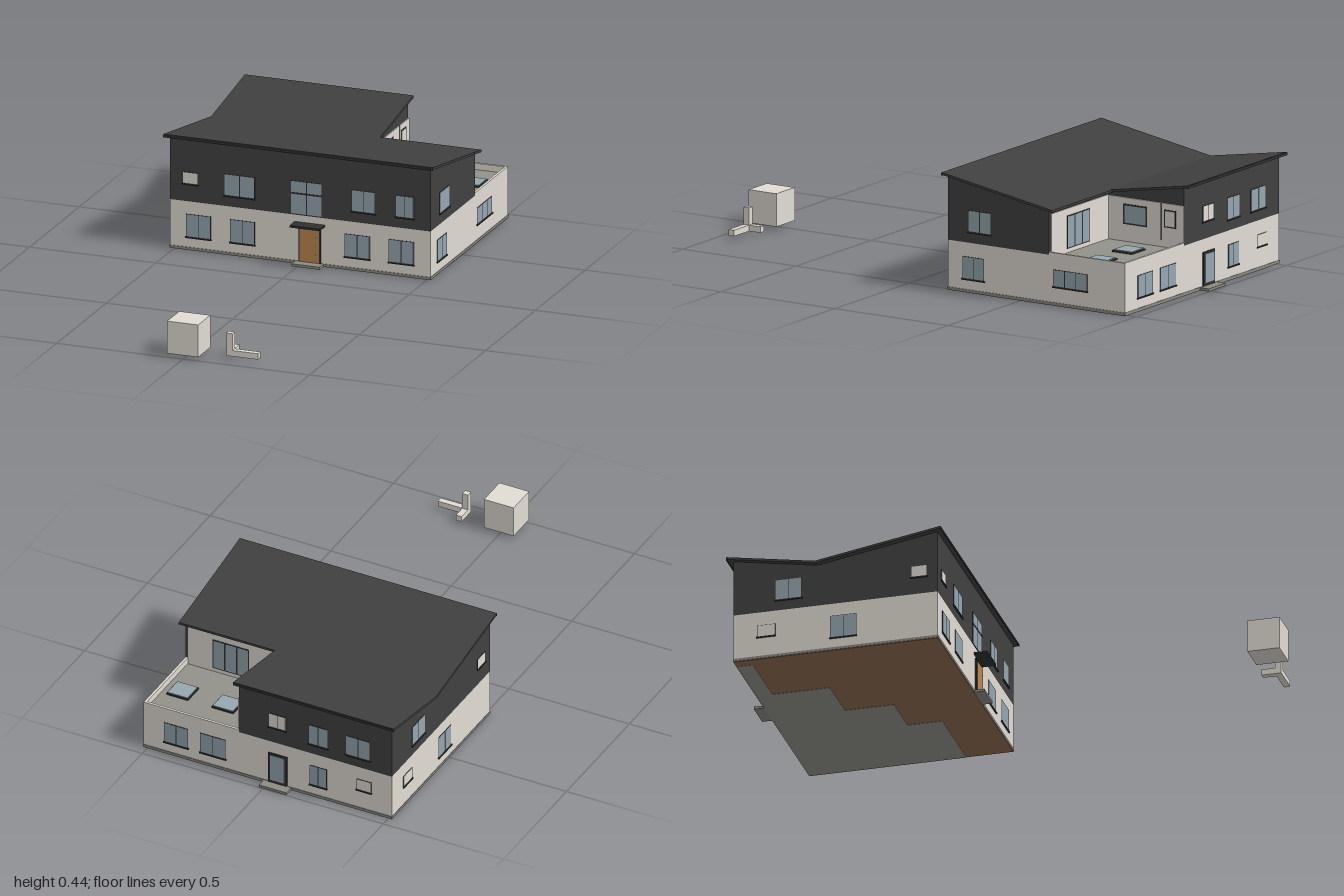
import * as THREE from 'three';

const mat = (name, color) => {
  const m = new THREE.MeshStandardMaterial({ color });
  m.name = name;
  return m;
};

export function createModel() {
  const model = new THREE.Group();
  model.name = 'house';
  const cream = mat('creamRender', 0xe1dcd3);
  const dark = mat('darkCladding', 0x414141);
  const roofing = mat('roofing', 0x404040);
  const trim = mat('darkTrim', 0x303133);
  const glass = mat('glass', 0x95a7b0);
  const wood = mat('doorWood', 0xbb8750);
  const grey = mat('plinthGrey', 0x8c8a83);
  const deck = mat('terraceGrey', 0x92928a);
  const brown = mat('floorBrown', 0x8f6c52);

  // Box given by its minimum and maximum on each axis
  const box = (name, m, x0, x1, y0, y1, z0, z1, parent = model) => {
    const mesh = new THREE.Mesh(new THREE.BoxGeometry(x1 - x0, y1 - y0, z1 - z0), m);
    mesh.position.set((x0 + x1) / 2, (y0 + y1) / 2, (z0 + z1) / 2);
    mesh.name = name;
    parent.add(mesh);
    return mesh;
  };
  // Side profile of [z, y] points swept along x
  const prism = (name, m, pts, x0, x1) => {
    const shape = new THREE.Shape(pts.map(([z, y]) => new THREE.Vector2(-z, y)));
    const geo = new THREE.ExtrudeGeometry(shape, { depth: x1 - x0, bevelEnabled: false });
    geo.rotateY(Math.PI / 2);
    const mesh = new THREE.Mesh(geo, m);
    mesh.position.x = x0;
    mesh.name = name;
    model.add(mesh);
  };

  const W = 0.515, FRONT = -0.18, MID = -0.625, BACK = -0.96, WING = 0.12;

  // Ground floor, with a lower block under the terrace
  box('plinth', grey, -0.517, 0.517, 0.003, 0.013, BACK - 0.002, FRONT + 0.002);
  box('groundFloorFront', cream, -W, W, 0.01, 0.19, MID, FRONT);
  box('groundFloorWing', cream, -W, WING, 0.01, 0.19, BACK, MID);
  box('groundFloorTerrace', cream, WING, W, 0.01, 0.172, BACK, MID);

  // Underside of the floor slab: brown, with a stepped grey area at the back
  box('floorUnderside', brown, -W, W, 0.001, 0.004, BACK, FRONT);
  [[0, 0.32, 0.77], [0.32, 0.5, 0.6], [0.5, 0.7, 0.36], [0.7, 0.96, 0.08]].forEach(([a, b, d]) =>
    box('slabUnderside', deck, W - b * 1.03, W - a * 1.03, 0, 0.002, BACK, BACK + d * 0.78));

  // Upper storey
  prism('upperFront', dark, [[FRONT, 0.19], [MID, 0.19], [MID, 0.356], [FRONT, 0.432]], -W, W);
  prism('upperWing', dark, [[MID, 0.19], [BACK, 0.19], [BACK, 0.408], [MID, 0.354]], -W, WING);
  box('terraceRearWall', cream, WING, W - 0.012, 0.172, 0.342, MID - 0.004, MID);
  box('terraceSideWall', cream, WING, WING + 0.004, 0.172, 0.34, BACK, MID);

  // Roof slabs meeting in a valley
  prism('frontRoof', roofing, [[-0.163, 0.436], [-0.65, 0.354], [-0.65, 0.363], [-0.163, 0.445]], -0.535, 0.531);
  prism('wingRoof', roofing, [[-0.64, 0.354], [-0.982, 0.412], [-0.982, 0.421], [-0.64, 0.363]], -0.535, 0.132);
  box('frontFascia', trim, -0.535, 0.531, 0.433, 0.442, -0.164, -0.161);
  box('wingFascia', trim, -0.535, 0.132, 0.409, 0.419, -0.984, -0.981);

  // Terrace, parapet and skylights
  box('terraceFloor', deck, WING, W - 0.01, 0.17, 0.175, BACK + 0.01, MID);
  box('parapetSide', cream, W - 0.01, W, 0.172, 0.2, BACK, MID);
  box('parapetBack', cream, WING, W - 0.01, 0.172, 0.2, BACK, BACK + 0.01);
  [0.248, 0.436].forEach((x) => {
    box('skylightFrame', trim, x - 0.045, x + 0.045, 0.175, 0.181, -0.845, -0.757);
    box('skylightGlass', glass, x - 0.041, x + 0.041, 0.181, 0.184, -0.841, -0.761);
  });

  // Wall faces: where a position along the wall lies, and which way it looks
  const faces = {
    front: (u) => [u, FRONT, 0],
    back: (u) => [u, BACK, Math.PI],
    right: (u) => [W, u, Math.PI / 2],
    left: (u) => [-W, u, -Math.PI / 2],
    terraceRear: (u) => [u, MID - 0.004, Math.PI],
    terraceSide: (u) => [WING + 0.004, u, Math.PI / 2],
  };
  const onWall = (name, face, u) => {
    const [x, z, turn] = faces[face](u);
    const g = new THREE.Group();
    g.name = name;
    g.position.set(x, 0, z);
    g.rotation.y = turn;
    model.add(g);
    return g;
  };
  // Window: dark frame, equal panes, optional transom height and sill
  const addWindow = (face, u0, u1, y0, y1, panes = 2, { fill = glass, transom = 0, sill = true, bar = 0.0035 } = {}) => {
    const g = onWall('window', face, (u0 + u1) / 2);
    const w = Math.abs(u1 - u0), h = bar / 2;
    box('frame', trim, -w / 2, w / 2, y0, y1, -0.002, 0.0015, g);
    const rows = transom ? [[y0, transom], [transom, y1]] : [[y0, y1]];
    const pw = w / panes;
    for (let i = 0; i < panes; i++) {
      rows.forEach(([a, b]) =>
        box('pane', fill, -w / 2 + i * pw + h, -w / 2 + (i + 1) * pw - h, a + h, b - h, 0, 0.002, g));
    }
    if (sill) box('sill', trim, -w / 2 - 0.003, w / 2 + 0.003, y0 - 0.004, y0 + 0.001, 0, 0.005, g);
  };
  const panel = { fill: cream, bar: 0.003 };

  // Front windows
  [[-0.452, -0.354], [-0.278, -0.18], [0.176, 0.275], [0.35, 0.449]].forEach(([a, b]) =>
    addWindow('front', a, b, 0.052, 0.141));
  [[-0.3, -0.18], [0.203, 0.296], [0.378, 0.449]].forEach(([a, b]) => addWindow('front', a, b, 0.231, 0.315));
  addWindow('front', -0.037, 0.086, 0.193, 0.322, 2, { transom: 0.274, sill: false });
  box('transomBar', trim, -0.036, 0.085, 0.271, 0.277, FRONT, FRONT + 0.003);
  addWindow('front', -0.465, -0.405, 0.258, 0.303, 1, panel);

  // Back windows
  [[0.175, 0.28], [0.33, 0.43], [-0.245, -0.175]].forEach(([a, b]) => addWindow('back', a, b, 0.052, 0.137));
  addWindow('back', -0.43, -0.37, 0.09, 0.137, 1, panel);
  addWindow('back', -0.075, -0.005, 0.255, 0.315, 2, panel);
  addWindow('back', -0.25, -0.17, 0.231, 0.315);
  addWindow('back', -0.425, -0.325, 0.231, 0.315);

  // Side windows
  addWindow('right', -0.245, -0.34, 0.052, 0.137);
  addWindow('right', -0.645, -0.795, 0.072, 0.137, 3);
  addWindow('right', -0.27, -0.37, 0.231, 0.313);
  addWindow('left', -0.8, -0.87, 0.09, 0.137, 1, panel);
  addWindow('left', -0.49, -0.59, 0.052, 0.141);
  addWindow('left', -0.7, -0.8, 0.231, 0.313);
  addWindow('left', -0.22, -0.28, 0.258, 0.303, 1, panel);

  // Windows facing the terrace
  addWindow('terraceSide', -0.695, -0.8, 0.24, 0.317, 1, { bar: 0.012, sill: false });
  addWindow('terraceSide', -0.875, -0.927, 0.25, 0.317, 1, { fill: cream, bar: 0.01, sill: false });
  box('sideWallJoint', trim, WING + 0.003, WING + 0.006, 0.2, 0.34, -0.863, -0.86);
  addWindow('terraceRear', 0.25, 0.4, 0.19, 0.315, 3, { sill: false, bar: 0.008 });

  // Front door with canopy and step
  const door = onWall('frontDoor', 'front', 0.038);
  box('doorFrame', trim, -0.043, 0.043, 0.013, 0.147, -0.002, 0.005, door);
  box('doorLeaf', wood, -0.038, 0.038, 0.014, 0.141, 0, 0.007, door);
  [0.04, 0.073, 0.106].forEach((y) => box('doorLight', glass, 0.024, 0.029, y, y + 0.005, 0, 0.008, door));
  box('canopy', trim, -0.022, 0.097, 0.156, 0.164, FRONT, -0.128);
  box('frontStep', grey, -0.02, 0.092, 0.002, 0.012, FRONT, -0.14);

  // Back door with step
  const backDoor = onWall('backDoor', 'back', -0.042);
  box('doorFrame', trim, -0.039, 0.039, 0.013, 0.141, -0.002, 0.005, backDoor);
  box('doorGlass', glass, -0.03, 0.03, 0.024, 0.133, 0, 0.007, backDoor);
  box('backStep', grey, -0.098, 0.016, 0.002, 0.012, -1, BACK);

  // Free-standing cube and three-armed corner marker in front of the house
  box('cube', cream, -0.063, 0.06, 0.015, 0.14, 0.877, 1);
  const marker = new THREE.Group();
  marker.name = 'cornerMarker';
  model.add(marker);
  box('armX', cream, 0.15, 0.275, 0.015, 0.038, 0.922, 0.946, marker);
  box('armY', cream, 0.15, 0.174, 0.038, 0.103, 0.922, 0.946, marker);
  box('armZ', cream, 0.15, 0.174, 0.015, 0.038, 0.872, 0.922, marker);

  return model;
}
